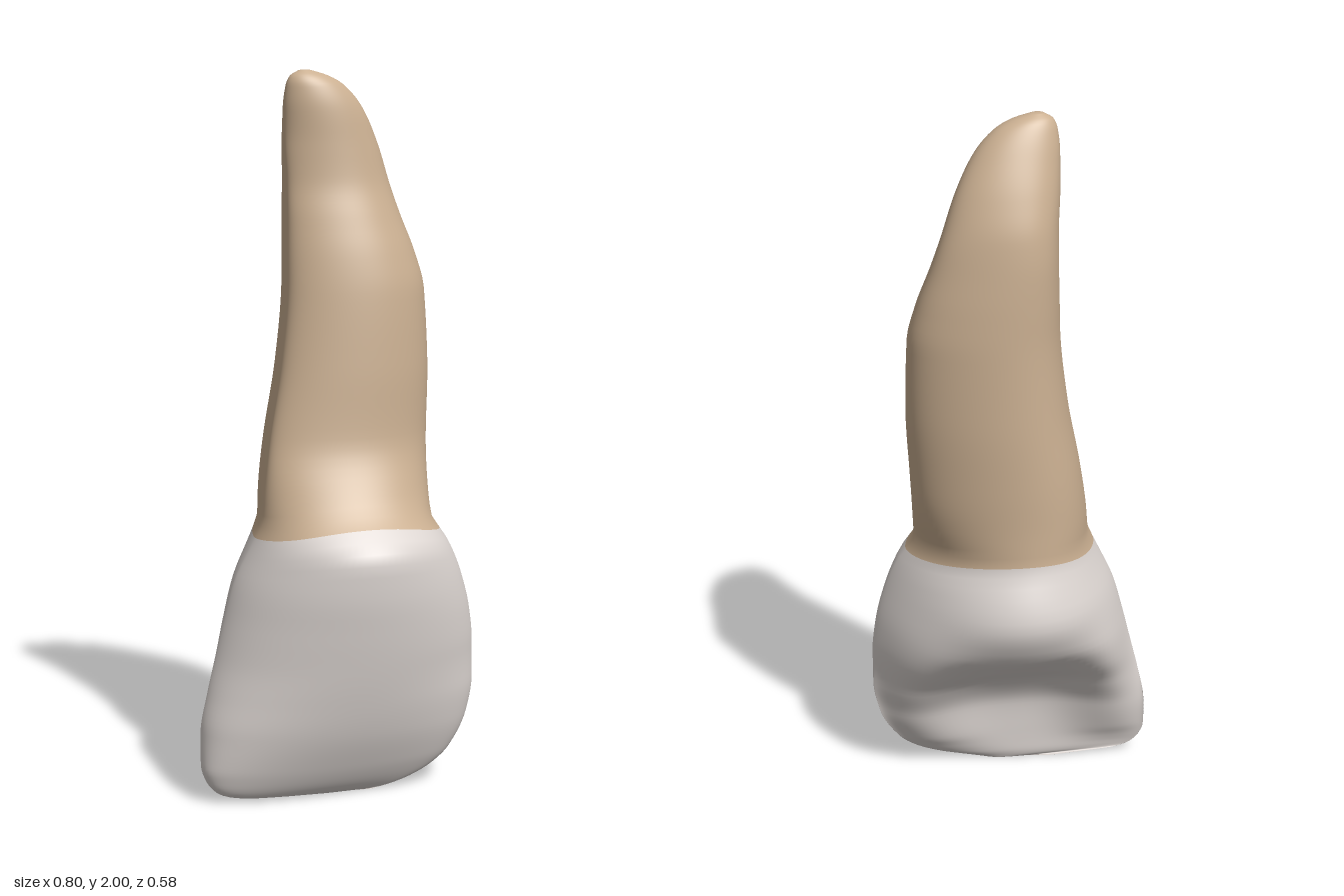
import * as THREE from 'three';

// Cross-section stations: y, xMin, xMax, zFront, zBack, zSide, ridge (depth of the rear marginal ridges)
const CROWN = [
  [0, -0.12, 0.08, 0.08, 0.062, 0.07, 0],
  [0.012, -0.32, 0.14, 0.1, 0.054, 0.07, 0],
  [0.03, -0.365, 0.205, 0.117, 0.05, 0.065, 0],
  [0.06, -0.388, 0.27, 0.137, 0.048, 0.055, 0.005],
  [0.1, -0.399, 0.32, 0.158, 0.045, 0.045, 0.02],
  [0.2, -0.395, 0.378, 0.2, 0.035, 0.03, 0.045],
  [0.3, -0.375, 0.397, 0.229, -0.02, 0.028, 0.06],
  [0.4, -0.35, 0.397, 0.252, -0.14, 0.025, 0.05],
  [0.5, -0.325, 0.386, 0.271, -0.25, 0.025, 0.02],
  [0.61, -0.294, 0.357, 0.287, -0.293, 0.025, 0],
  [0.7, -0.253, 0.32, 0.291, -0.272, 0.025, 0],
  [0.735, -0.236, 0.298, 0.277, -0.257, 0.022, 0],
];
const ROOT = [
  [0.78, -0.218, 0.275, 0.225, -0.245, 0.02, 0],
  [0.85, -0.21, 0.28, 0.17, -0.245, 0, 0],
  [1, -0.185, 0.29, 0.105, -0.25, -0.03, 0],
  [1.2, -0.145, 0.3, 0.09, -0.255, -0.05, 0],
  [1.4, -0.12, 0.295, 0.07, -0.255, -0.07, 0],
  [1.5, -0.115, 0.272, 0.05, -0.254, -0.085, 0],
  [1.6, -0.11, 0.236, 0.02, -0.25, -0.1, 0],
  [1.7, -0.107, 0.202, -0.01, -0.24, -0.11, 0],
  [1.8, -0.11, 0.167, -0.022, -0.212, -0.11, 0],
  [1.9, -0.11, 0.115, -0.03, -0.172, -0.1, 0],
  [1.96, -0.104, 0.06, -0.044, -0.143, -0.094, 0],
  [1.985, -0.093, 0.015, -0.06, -0.126, -0.092, 0],
  [2, -0.068, -0.035, -0.08, -0.105, -0.092, 0],
];
const KEYS = [...CROWN, ...ROOT];
const NECK = 0.735;
const COLS = 96;
const { smoothstep, clamp, lerp } = THREE.MathUtils;

// Monotone cubic interpolation of one column at height y
function sample(y, col) {
  const last = KEYS.length - 1;
  let i = 0;
  while (i < last - 1 && KEYS[i + 1][0] < y) i++;
  const slope = (k) => (KEYS[k + 1][col] - KEYS[k][col]) / (KEYS[k + 1][0] - KEYS[k][0]);
  const tangent = (k) => {
    if (k === 0) return slope(0);
    if (k === last) return slope(last - 1);
    const a = slope(k - 1), b = slope(k);
    return a * b <= 0 ? 0 : (2 * a * b) / (a + b);
  };
  const h = KEYS[i + 1][0] - KEYS[i][0];
  const t = clamp((y - KEYS[i][0]) / h, 0, 1);
  const t2 = t * t, t3 = t2 * t;
  return (2 * t3 - 3 * t2 + 1) * KEYS[i][col] + (t3 - 2 * t2 + t) * h * tangent(i)
    + (3 * t2 - 2 * t3) * KEYS[i + 1][col] + (t3 - t2) * h * tangent(i + 1);
}

// Point on the tooth surface; rows near the neck arch up at front and back
function surfacePoint(row, angle) {
  const c = Math.cos(angle), s = Math.sin(angle);
  const y = row + 0.045 * s * s * Math.exp(-(((row - NECK) / 0.15) ** 2));
  const [x0, x1, front, back, side, ridge] = [1, 2, 3, 4, 5, 6].map((k) => sample(y, k));
  const rooted = smoothstep(y, 0.6, 0.95);
  const tip = smoothstep(y, 1.6, 1.95);

  // The crown's sides turn forward on the left, the root's turn back
  const sideZ = side + c * lerp(0.018, -0.03 * (1 - tip), rooted);
  // Full front near the biting edge, tapering flanks higher up, rounder root
  const frontPower = lerp(lerp(0.85, 1.2, smoothstep(y, 0.08, 0.4)), 1.1, rooted);
  const backPower = lerp(1.4, 0.93, rooted);
  let z = sideZ + ((s > 0 ? front : back) - sideZ) * Math.abs(s) ** (s > 0 ? frontPower : backPower);
  if (s < 0) z -= ridge * (4 * c * c * (1 - c * c)) ** 1.7;

  // The rear bulge sits a little toward the right
  const skew = s < 0 ? -0.035 * s * s * (1 - tip) * smoothstep(y, 0.1, 0.5) : 0;
  return [(x0 + x1) / 2 + ((x1 - x0) / 2) * c + skew, y, z];
}

export function createModel() {
  const enamel = new THREE.MeshStandardMaterial({ color: 0xddd6d2 });
  enamel.name = 'enamel';
  const dentine = new THREE.MeshStandardMaterial({ color: 0xcbb092 });
  dentine.name = 'dentine';

  // Row heights, denser at the biting edge and at the root tip
  const rows = [];
  const crownRows = 48, rootRows = 64;
  for (let i = 0; i <= crownRows; i++) rows.push(NECK * (i / crownRows) ** 1.7);
  for (let i = 1; i <= rootRows; i++) rows.push(2 - (2 - NECK) * (1 - i / rootRows) ** 1.6);

  const positions = [];
  for (const row of rows) {
    for (let j = 0; j < COLS; j++) positions.push(...surfacePoint(row, (j / COLS) * Math.PI * 2));
  }
  const bottom = positions.length / 3, top = bottom + 1;
  positions.push(-0.02, 0, 0.07, -0.052, 2.001, -0.092);

  const crownFaces = [], rootFaces = [];
  for (let i = 0; i < rows.length - 1; i++) {
    const faces = i < crownRows ? crownFaces : rootFaces;
    for (let j = 0; j < COLS; j++) {
      const a = i * COLS + j, b = i * COLS + ((j + 1) % COLS);
      faces.push(a, a + COLS, b, b, a + COLS, b + COLS);
    }
  }
  // Close both ends
  const lastRow = (rows.length - 1) * COLS;
  for (let j = 0; j < COLS; j++) {
    const k = (j + 1) % COLS;
    crownFaces.push(bottom, j, k);
    rootFaces.push(top, lastRow + k, lastRow + j);
  }

  // Normals are computed over the whole tooth so the neck stays smooth
  const whole = new THREE.BufferGeometry();
  whole.setAttribute('position', new THREE.Float32BufferAttribute(positions, 3));
  whole.setIndex([...crownFaces, ...rootFaces]);
  whole.computeVertexNormals();

  const group = new THREE.Group();
  group.name = 'tooth';
  const addPart = (name, faces, material) => {
    const geometry = whole.clone();
    geometry.setIndex(faces);
    const mesh = new THREE.Mesh(geometry, material);
    mesh.name = name;
    group.add(mesh);
  };
  addPart('crown', crownFaces, enamel);
  addPart('root', rootFaces, dentine);
  return group;
}
